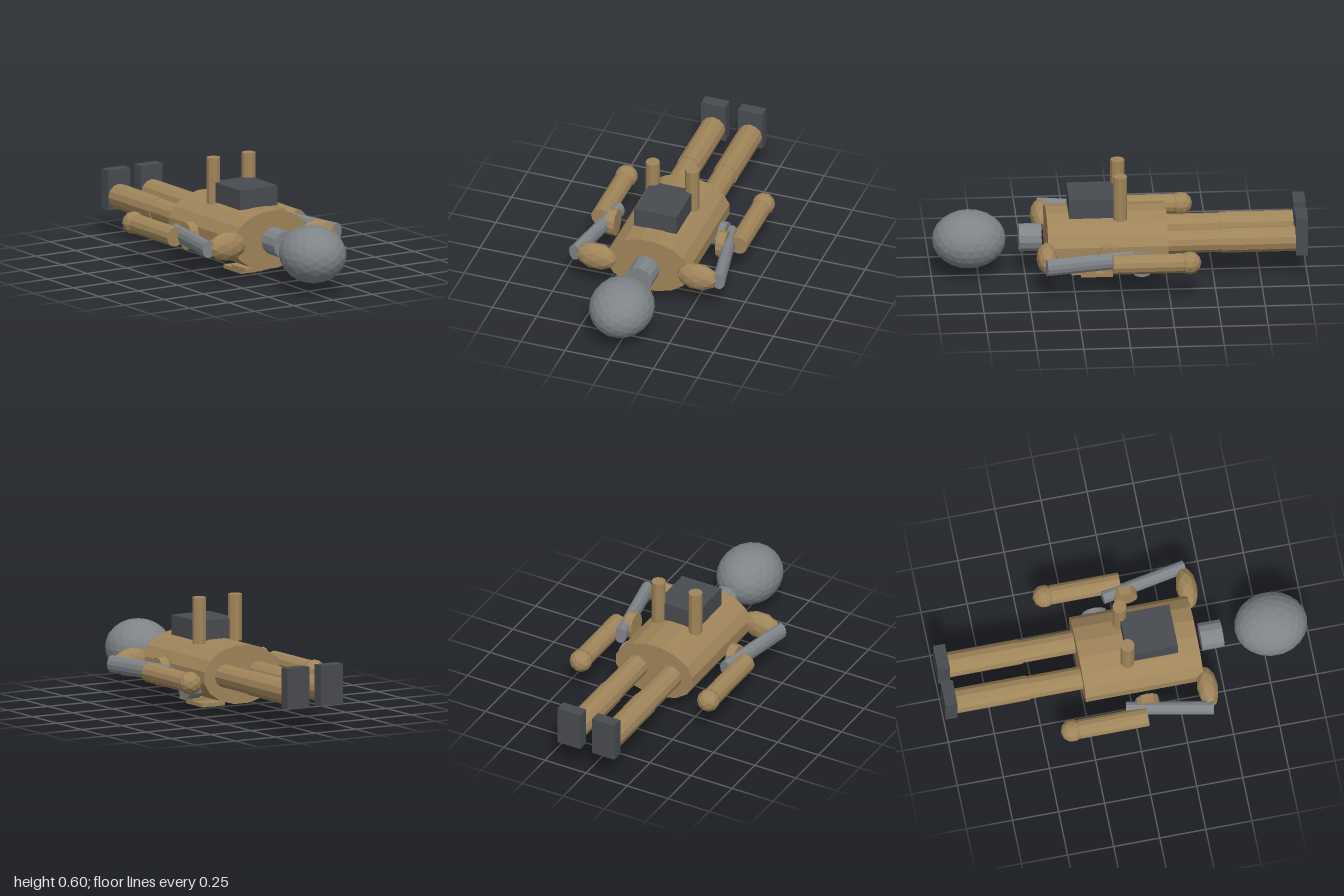
import * as THREE from 'three';

const material = (color) => new THREE.MeshStandardMaterial({ color, flatShading: true });

export function createModel() {
  const model = new THREE.Group();
  model.name = 'lyingRobot';
  const tan = material(0xa0855a);
  const grey = material(0x7f8488);
  const dark = material(0x484b50);
  const midY = 0.213;

  const add = (name, geometry, mat) => {
    const mesh = new THREE.Mesh(geometry, mat);
    mesh.name = name;
    model.add(mesh);
    return mesh;
  };

  // Elliptical rod between two points: rx is the sideways radius, ry the upright one
  const rod = (name, mat, from, to, rx, ry, sides = 12, turn = 0) => {
    const a = new THREE.Vector3(...from);
    const b = new THREE.Vector3(...to);
    const geometry = new THREE.CylinderGeometry(1, 1, a.distanceTo(b), sides);
    geometry.rotateY(turn).rotateX(Math.PI / 2).scale(rx, ry, 1);
    const mesh = add(name, geometry, mat);
    mesh.position.copy(a).add(b).multiplyScalar(0.5);
    mesh.lookAt(b);
  };

  // Faceted ellipsoid
  const ball = (name, mat, centre, radii, detail) => {
    const geometry = new THREE.IcosahedronGeometry(1, detail).scale(...radii);
    add(name, geometry, mat).position.set(...centre);
  };

  // Box given by its two opposite corners
  const box = (name, mat, min, max) => {
    const size = max.map((v, i) => v - min[i]);
    const mesh = add(name, new THREE.BoxGeometry(...size), mat);
    mesh.position.set(...max.map((v, i) => (v + min[i]) / 2));
  };

  // Body, neck and head
  rod('torso', tan, [0, midY, -0.25], [0, midY, 0.39], 0.238, 0.16, 16, Math.PI / 16);
  rod('neck', grey, [0, midY, 0.415], [0, midY, 0.535], 0.075, 0.075);
  ball('head', grey, [0, midY, 0.8], [0.173, 0.155, 0.197], 3);

  // Backpack, chest plates and hip canister
  box('backpack', dark, [-0.12, 0.366, 0], [0.12, 0.473, 0.272]);
  box('upperChestPlate', tan, [-0.077, 0.018, 0.125], [0.077, 0.039, 0.257]);
  box('lowerChestPlate', tan, [-0.07, 0, 0.035], [0.07, 0.02, 0.205]);
  rod('hipCanister', grey, [0.195, 0.15, -0.107], [0.27, 0.15, -0.107], 0.068, 0.068);

  for (const [side, s] of [['left', 1], ['right', -1]]) {
    // Arm
    ball(side + 'Shoulder', tan, [s * 0.286, midY, 0.4], [0.117, 0.078, 0.057], 1);
    rod(side + 'UpperArm', grey, [s * 0.408, midY, 0.41], [s * 0.319, midY, -0.05], 0.034, 0.047);
    rod(side + 'Elbow', tan, [s * 0.287, midY, 0.07], [s * 0.335, midY, 0.07], 0.064, 0.076);
    rod(side + 'Forearm', tan, [s * 0.388, midY, -0.32], [s * 0.388, midY, 0.055], 0.053, 0.053);
    ball(side + 'Hand', tan, [s * 0.388, midY, -0.355], [0.062, 0.062, 0.062], 1);

    // Leg
    rod(side + 'Thigh', tan, [s * 0.104, midY, -0.22], [s * 0.104, midY, -0.55], 0.063, 0.063);
    rod(side + 'Shin', tan, [s * 0.104, midY, -0.54], [s * 0.104, midY, -0.94], 0.068, 0.068);
    box(side + 'Foot', dark, [s * 0.104 - 0.069, 0.142, -1], [s * 0.104 + 0.069, 0.36, -0.935]);

    // Exhaust pipe on the back
    rod(side + 'Exhaust', tan, [s * 0.112, 0.355, 0], [s * 0.112, 0.604, 0], 0.038, 0.038, 10);
  }
  return model;
}
